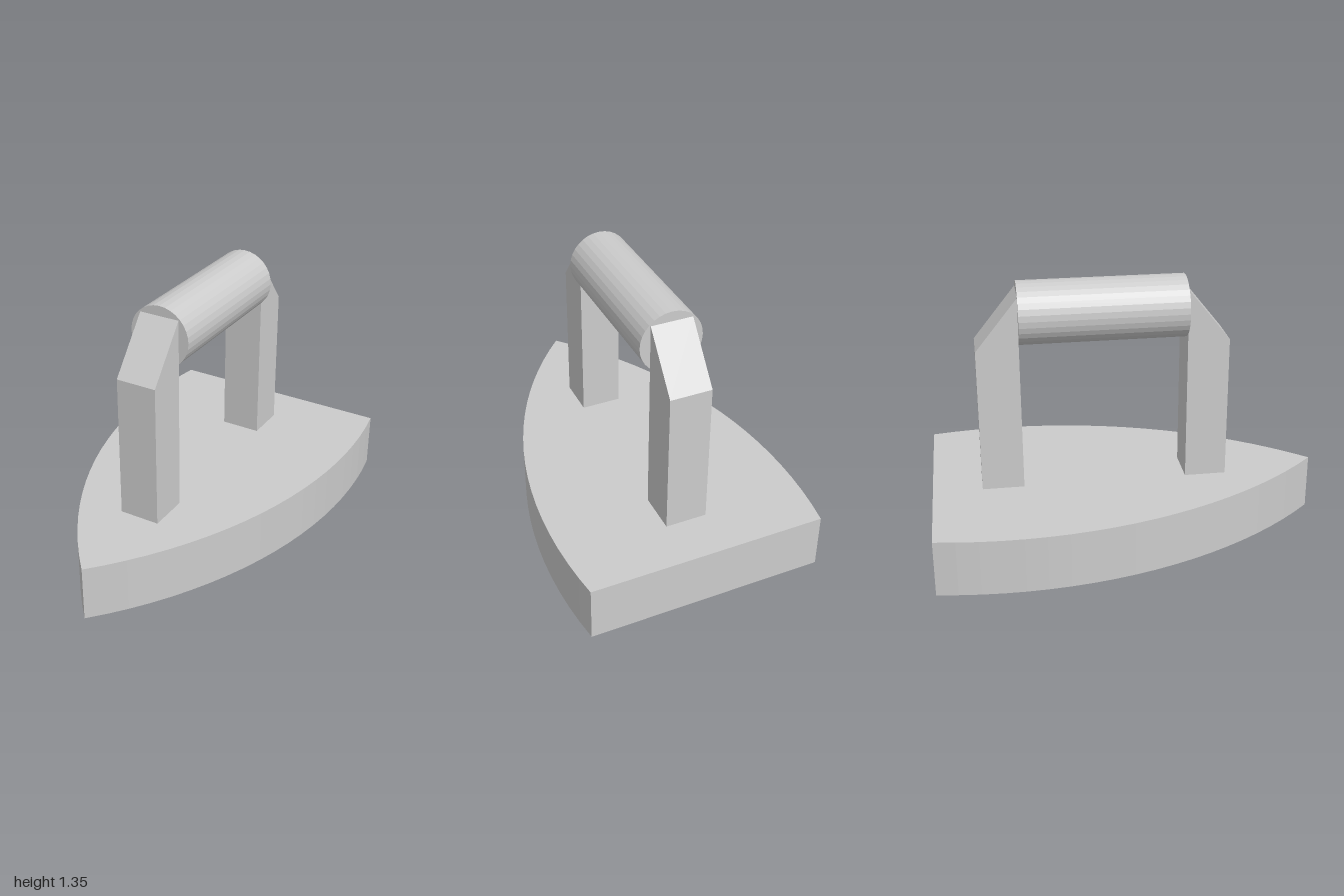
import * as THREE from 'three';

const material = new THREE.MeshStandardMaterial({ color: 0xcccccc, flatShading: true });

function addPart(group, name, geometry) {
  const mesh = new THREE.Mesh(geometry, material);
  mesh.name = name;
  group.add(mesh);
  return mesh;
}

// Pointed sole plate: two mirrored circular arcs meeting at the front tip
function soleGeometry(height) {
  const halfWidth = 0.635, widestZ = -0.6, steps = 20;
  const reach = 1 - widestZ;
  const radius = (reach * reach + halfWidth * halfWidth) / (2 * halfWidth);
  const startAngle = Math.asin((-1 - widestZ) / radius);
  const endAngle = Math.asin(reach / radius);
  const side = [];
  for (let i = 0; i <= steps; i++) {
    const a = startAngle + (endAngle - startAngle) * i / steps;
    side.push([halfWidth - radius * (1 - Math.cos(a)), widestZ + radius * Math.sin(a)]);
  }
  const outline = side.map(([x, z]) => new THREE.Vector2(x, -z));
  for (const [x, z] of side.slice(0, -1).reverse()) outline.push(new THREE.Vector2(-x, -z));
  return new THREE.ExtrudeGeometry(new THREE.Shape(outline), { depth: height, bevelEnabled: false })
    .rotateX(-Math.PI / 2);
}

// Upright post with a chamfered outer top corner
function postGeometry(innerZ, outerZ, bottom) {
  const width = 0.21;
  const profile = [[innerZ, bottom], [outerZ, bottom], [outerZ, 1.03], [innerZ, 1.295]];
  const shape = new THREE.Shape(profile.map(([z, y]) => new THREE.Vector2(z, y)));
  return new THREE.ExtrudeGeometry(shape, { depth: width, bevelEnabled: false })
    .translate(0, 0, -width / 2)
    .rotateY(-Math.PI / 2);
}

export function createModel() {
  const group = new THREE.Group();
  group.name = 'flatIron';

  const soleHeight = 0.288, gripFront = 0.3, gripBack = -0.537, postDepth = 0.212;

  addPart(group, 'solePlate', soleGeometry(soleHeight));
  addPart(group, 'frontPost', postGeometry(gripFront, gripFront + postDepth, soleHeight));
  addPart(group, 'backPost', postGeometry(gripBack, gripBack - postDepth, soleHeight));

  // Round grip between the posts
  const grip = addPart(group, 'grip',
    new THREE.CylinderGeometry(0.158, 0.158, gripFront - gripBack, 32).rotateX(Math.PI / 2));
  grip.position.set(0, 1.188, (gripFront + gripBack) / 2);

  return group;
}
